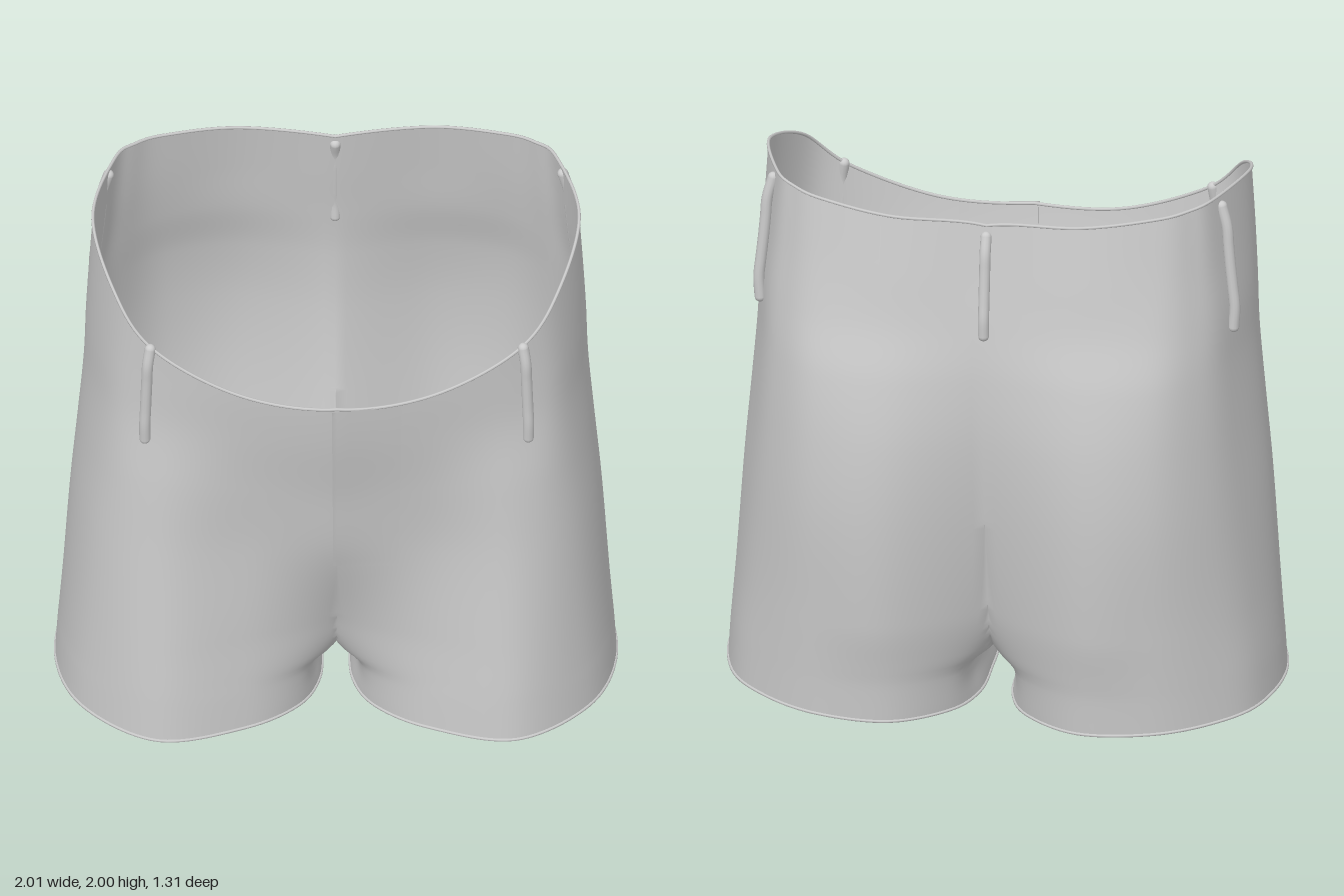
import * as THREE from 'three';
import { mergeVertices } from 'three/addons/utils/BufferGeometryUtils.js';

const CTRL = 13, COLS = CTRL * 8, ROWS = 84, BACK = 9; // BACK: control point at the back centre

// Half-section sizes by height:
// y, outer x, front z (mid, outer), back z (outer, mid), centre x, centre z (front, back),
// inner x, inner z (front, back), back-corner width ratio
const LEVELS = [
  [0.00, 1.000, 0.485, 0.570, -0.55, -0.565, 0.14, 0.345, -0.42, 0.05, 0.18, -0.24, 0.95],
  [0.16, 0.990, 0.480, 0.563, -0.56, -0.58, 0.12, 0.345, -0.43, 0.055, 0.19, -0.25, 0.95],
  [0.22, 0.985, 0.478, 0.560, -0.565, -0.59, 0.09, 0.35, -0.435, -0.02, 0.21, -0.26, 0.95],
  [0.40, 0.972, 0.475, 0.548, -0.58, -0.62, 0.03, 0.37, -0.45, -0.10, 0.28, -0.32, 0.945],
  [0.80, 0.945, 0.490, 0.522, -0.605, -0.65, 0, 0.50, -0.51, -0.25, 0.47, -0.42, 0.94],
  [1.10, 0.918, 0.525, 0.508, -0.595, -0.645, 0, 0.555, -0.54, -0.28, 0.53, -0.47, 0.94],
  [1.35, 0.897, 0.560, 0.490, -0.56, -0.61, 0, 0.605, -0.54, -0.30, 0.57, -0.51, 0.94],
  [1.55, 0.890, 0.585, 0.495, -0.505, -0.56, 0, 0.632, -0.52, -0.30, 0.59, -0.52, 0.935],
  [1.75, 0.880, 0.600, 0.505, -0.46, -0.525, 0, 0.645, -0.49, -0.30, 0.60, -0.50, 0.92],
  [2.00, 0.864, 0.610, 0.515, -0.415, -0.48, 0, 0.655, -0.455, -0.30, 0.60, -0.47, 0.91],
];

// Waist height at each control point, from front centre round the side to the back and inside
const WAIST = [1.53, 1.553, 1.69, 1.86, 1.972, 1.993, 1.985, 1.973, 1.953, 1.93, 1.83, 1.73, 1.6];

const loop = (pts) => new THREE.CatmullRomCurve3(pts, true, 'catmullrom', 0.5);
const waistCurve = loop(WAIST.map((h) => new THREE.Vector3(0, h, 0)));

// Smooth interpolation of the level sizes
function sizesAt(y) {
  const n = LEVELS.length;
  let i = 0;
  while (i < n - 2 && y > LEVELS[i + 1][0]) i++;
  const a = LEVELS[i], b = LEVELS[i + 1];
  const p = LEVELS[Math.max(i - 1, 0)], q = LEVELS[Math.min(i + 2, n - 1)];
  const d = b[0] - a[0], t = THREE.MathUtils.clamp((y - a[0]) / d, 0, 1);
  const t2 = t * t, t3 = t2 * t;
  return a.map((v, k) => {
    const ma = (b[k] - p[k]) / (b[0] - p[0]) * d;
    const mb = (q[k] - v) / (q[0] - a[0]) * d;
    return v * (2 * t3 - 3 * t2 + 1) + ma * (t3 - 2 * t2 + t) + b[k] * (3 * t2 - 2 * t3) + mb * (t3 - t2);
  });
}

// Point on the left half at loop position c (in control points) and height y
function surface(c, y) {
  const [, xo, f1, f2, b2, b1, xc, cf, cb, xi, gf, gb, corner] = sizesAt(y);
  const sx = corner * xo, sz = -0.25, bx = 0.6; // ends of the rounded back corner
  const pts = [
    [xc, cf], [0.33, f1], [0.64, f2], [0.905 * xo, 0.37], [xo, 0.07], [sx, sz],
    [(sx + bx) / 2 + 0.1 * (sz - b2), (sz + b2) / 2 - 0.1 * (sx - bx)],
    [bx, b2], [0.34, b1], [xc, cb], [xi + 0.01, gb], [xi, -0.02], [xi + 0.01, gf],
  ].map(([x, z]) => new THREE.Vector3(x, 0, z));
  const p = loop(pts).getPoint((c / CTRL) % 1);
  p.y = y;
  if (p.x < 0.001) p.x = 0; // halves meet on the centre plane
  return p;
}

const waistY = (c) => waistCurve.getPoint((c / CTRL) % 1).y;
const hemY = (c) => 0.006 + 0.028 * surface(c, 0).x;

function gridGeometry(positions, index) {
  const g = new THREE.BufferGeometry();
  g.setAttribute('position', new THREE.Float32BufferAttribute(positions, 3));
  g.setIndex(index);
  const welded = mergeVertices(g, 1e-5);
  welded.computeVertexNormals();
  return welded;
}

// Both legs and the seat as one welded skin
function bodyGeometry() {
  const pos = [], index = [];
  for (const side of [1, -1]) {
    const base = pos.length / 3;
    for (let i = 0; i < COLS; i++) {
      const c = i * CTRL / COLS, y0 = hemY(c), y1 = waistY(c);
      for (let j = 0; j <= ROWS; j++) {
        const p = surface(c, y0 + (y1 - y0) * j / ROWS);
        pos.push(side * p.x, p.y, p.z);
      }
    }
    const tri = (a, b, c) => {
      if ([a, b, c].every((k) => pos[k * 3] === 0)) return; // no wall between the halves
      if (side > 0) index.push(a, b, c); else index.push(a, c, b);
    };
    for (let i = 0; i < COLS; i++) {
      for (let j = 0; j < ROWS; j++) {
        const a = base + i * (ROWS + 1) + j;
        const b = base + ((i + 1) % COLS) * (ROWS + 1) + j;
        tri(a, b, b + 1);
        tri(a, b + 1, a + 1);
      }
    }
  }
  return gridGeometry(pos.map((v) => v + 0), index);
}

// Flap over the fly, fading into the front
function flyGeometry() {
  const pos = [], index = [], rows = 30, cols = 9;
  for (let j = 0; j <= rows; j++) {
    const v = j / rows, y = 1.53 - 0.8 * v, lift = 0.02 * (1 - v * 0.8);
    for (let k = 0; k < cols; k++) {
      const s = Math.max(0, k - 2) / (cols - 3);
      const p = surface(s * 0.8, y);
      if (k < 2) p.x = -0.018 + 0.006 * v;
      p.z += k === 0 ? -0.012 : lift * (1 - s) ** 2 - (k === cols - 1 ? 0.002 : 0);
      pos.push(p.x, p.y, p.z);
    }
  }
  for (let j = 0; j < rows; j++) {
    for (let k = 0; k < cols - 1; k++) {
      const a = j * cols + k, d = a + cols;
      index.push(a, d, a + 1, a + 1, d, d + 1);
    }
  }
  return gridGeometry(pos, index);
}

export function createModel() {
  const group = new THREE.Group();
  const mat = new THREE.MeshStandardMaterial({ color: 0xcccccc, side: THREE.DoubleSide });
  const add = (name, geo, parent = group) => {
    const m = new THREE.Mesh(geo, mat);
    m.name = name;
    parent.add(m);
    return m;
  };

  add('shortsBody', bodyGeometry());
  add('flyFlap', flyGeometry());

  // Belt loop: rounded strip following the cloth from loop position c0 to c1, tucked in at the top
  const beltLoop = (name, c0, c1, top, bottom, parent) => {
    const g = new THREE.Group();
    g.name = name;
    const pts = [];
    for (let k = 0; k <= 6; k++) {
      const c = c0 + (c1 - c0) * k / 6;
      const p = surface(c, top + (bottom - top) * k / 6);
      const e = surface(c + 0.05, p.y), f = surface(c - 0.05, p.y);
      const out = c === BACK ? new THREE.Vector3(0, 0, -1)
        : new THREE.Vector3(f.z - e.z, 0, e.x - f.x).normalize();
      pts.push(p.addScaledVector(out, k === 0 ? 0.004 : k === 6 ? 0.01 : 0.019));
    }
    add(name + 'Strip', new THREE.TubeGeometry(new THREE.CatmullRomCurve3(pts), 24, 0.02, 12), g);
    for (const p of [pts[0], pts[6]]) {
      add(name + 'End', new THREE.SphereGeometry(0.02, 12, 8), g).position.copy(p);
    }
    parent.add(g);
  };
  beltLoop('backBeltLoop', BACK, BACK, 1.89, 1.53, group);

  // Paired trim, mirrored
  const hemPts = [], waistPts = [];
  for (let i = 0; i < COLS; i++) {
    const c = i * CTRL / COLS;
    hemPts.push(surface(c, hemY(c)));
    if (c <= BACK) waistPts.push(surface(c, waistY(c)));
  }
  for (const side of [1, -1]) {
    const half = new THREE.Group();
    half.name = side > 0 ? 'leftTrim' : 'rightTrim';
    half.scale.x = side;
    add('legHem', new THREE.TubeGeometry(new THREE.CatmullRomCurve3(hemPts, true), 120, 0.006, 6, true), half);
    add('waistEdge', new THREE.TubeGeometry(new THREE.CatmullRomCurve3(waistPts), 90, 0.006, 6), half);
    beltLoop('frontBeltLoop', 2.1, 2.17, 1.7, 1.3, half);
    beltLoop('sideBeltLoop', 4.84, 4.9, 1.95, 1.49, half);
    group.add(half);
  }
  return group;
}
